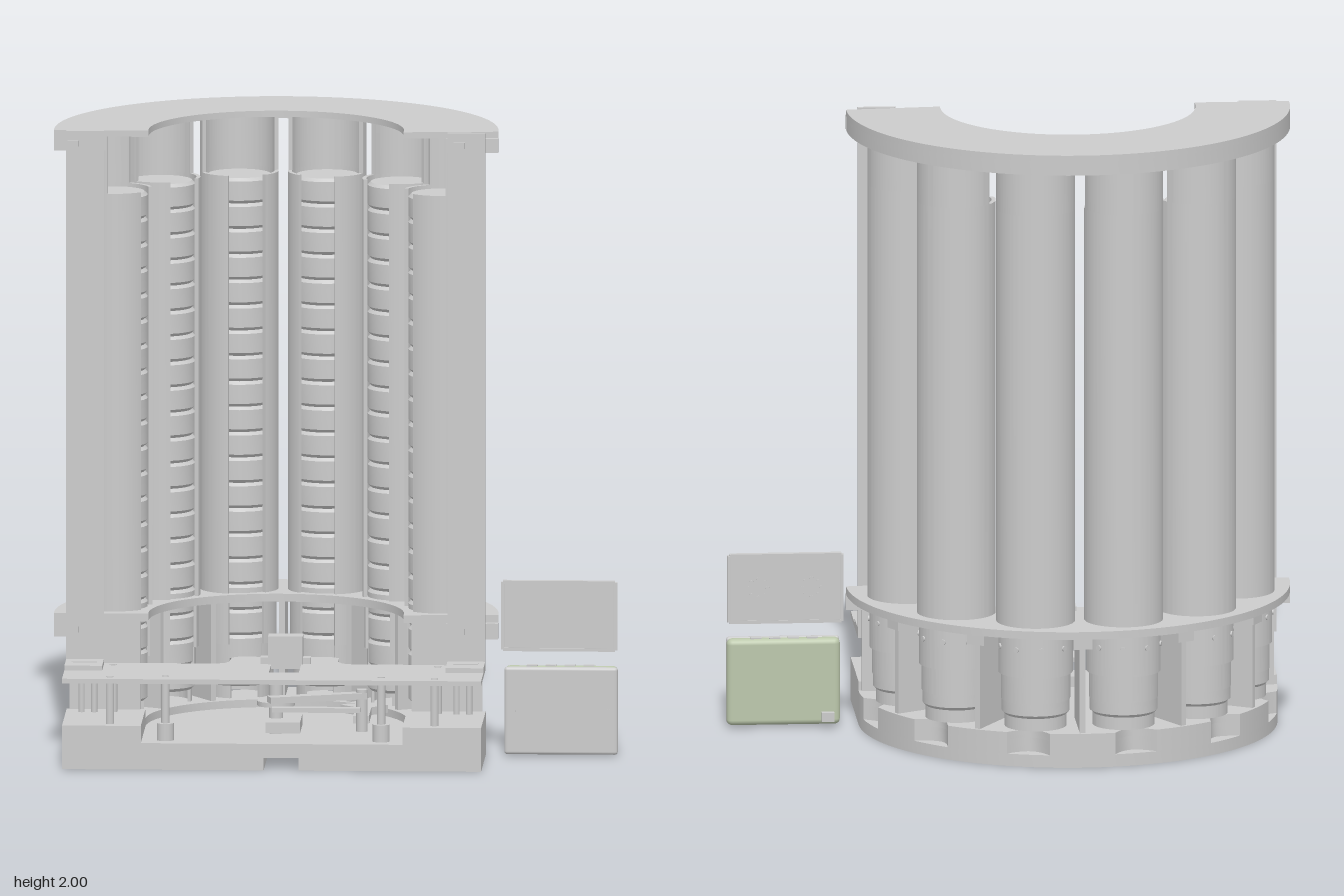
import * as THREE from 'three';
import { toCreasedNormals } from 'three/addons/utils/BufferGeometryUtils.js';
import { RoundedBoxGeometry } from 'three/addons/geometries/RoundedBoxGeometry.js';

const CX = -0.195, CZ = 0.175; // axis of the semicircle of tubes
const TUBE_ORBIT = 0.54, BASE_R = 0.665;
const rad = THREE.MathUtils.degToRad;
const grey = new THREE.MeshStandardMaterial({ color: 0xcccccc, side: THREE.DoubleSide });
const green = new THREE.MeshStandardMaterial({ color: 0xbcc8ac });

function add(parent, name, geo, x = 0, y = 0, z = 0, mat = grey) {
  const m = new THREE.Mesh(geo, mat);
  m.name = name;
  m.position.set(x, y, z);
  parent.add(m);
  return m;
}

// Box given by its limits
function block(parent, name, x0, x1, y0, y1, z0, z1, mat = grey) {
  return add(parent, name, new THREE.BoxGeometry(x1 - x0, y1 - y0, z1 - z0),
    (x0 + x1) / 2, (y0 + y1) / 2, (z0 + z1) / 2, mat);
}

function post(parent, name, r, x, y0, y1, z) {
  return add(parent, name, new THREE.CylinderGeometry(r, r, y1 - y0, 16), x, (y0 + y1) / 2, z);
}

// Upright extrusion; shape coordinates are (x, -z)
function slab(shape, y0, y1) {
  const g = new THREE.ExtrudeGeometry(shape, { depth: y1 - y0, bevelEnabled: false, curveSegments: 48 });
  g.rotateX(-Math.PI / 2).translate(0, y0, 0);
  return toCreasedNormals(g, 0.5);
}

const poly = pts => new THREE.Shape(pts.map(p => new THREE.Vector2(p[0], p[1])));

// Wall of a tube with an opening of the given half angle towards +z
function openRing(R, r, half) {
  const s = new THREE.Shape();
  const a = -Math.PI / 2 + half, b = 1.5 * Math.PI - half;
  s.absarc(0, 0, R, a, b, false);
  s.absarc(0, 0, r, b, a, true);
  s.closePath();
  return s;
}

// Half ring whose ends run straight forward a little
function halfRing(R, r, tail) {
  const s = new THREE.Shape();
  s.moveTo(R, -tail);
  s.absarc(0, 0, R, 0, Math.PI, false);
  s.lineTo(-R, -tail);
  s.lineTo(-r, -tail);
  s.absarc(0, 0, r, Math.PI, 0, true);
  s.lineTo(r, -tail);
  s.closePath();
  return s;
}

// Rear edge of the base, scooped out behind every tube
function scoopedArc() {
  const pts = [];
  for (let i = 0; i <= 180; i++) {
    const d = (i % 30 - 15) / 6;
    const r = BASE_R - 0.05 * Math.max(0, 1 - d * d);
    pts.push([r * Math.cos(rad(i)), r * Math.sin(rad(i))]);
  }
  return pts;
}

function buildBase(root) {
  const g = new THREE.Group();
  g.name = 'base';
  g.position.set(CX, 0, CZ);
  root.add(g);
  // bottom layer with the T-shaped channel
  const f = -0.35;
  const bottom = poly([[-BASE_R, f], [-0.025, f], [-0.025, -0.08], [-0.065, -0.08], [-0.065, -0.01],
    [0.125, -0.01], [0.125, -0.08], [0.085, -0.08], [0.085, f], [BASE_R, f]]);
  bottom.absarc(0, 0, BASE_R, 0, Math.PI, false);
  for (const [x, y] of [[-0.6, -0.3], [0.6, -0.3], [-0.6, 0.02], [0.6, 0.02], [0, 0.6]]) {
    const h = new THREE.Path();
    h.absarc(x, y, 0.022, 0, 2 * Math.PI, true);
    bottom.holes.push(h);
  }
  add(g, 'bottomLayer', slab(bottom, 0, 0.04));
  // floor and raised rear rim
  add(g, 'floorLayer', slab(poly([[-BASE_R, f], [BASE_R, f], ...scoopedArc()]), 0.04, 0.085));
  const rim = scoopedArc();
  for (let i = 180; i >= 0; i -= 5) rim.push([0.415 * Math.cos(rad(i)), 0.415 * Math.sin(rad(i))]);
  add(g, 'rearRim', slab(poly(rim), 0.085, 0.11));
  for (const s of [-1, 1]) {
    const [a, b] = [0.415 * s, BASE_R * s].sort((p, q) => p - q);
    block(g, 'sideBlock', a, b, 0.085, 0.14, 0, 0.35);
  }
}

function buildTubes(root) {
  const g = new THREE.Group();
  g.name = 'tubeBank';
  g.position.set(CX, 0, CZ);
  root.add(g);
  // one profile for a whole pile of rounded discs
  const n = 20, y0 = 0.15, pitch = (1.78 - y0) / n, R = 0.108, c = 0.01;
  const pts = [new THREE.Vector2(0, y0)];
  for (let i = 0; i < n; i++) {
    const y = y0 + i * pitch;
    for (const [r, h] of [[R - c, 0], [R, c], [R, pitch - c], [R - c, pitch]])
      pts.push(new THREE.Vector2(r, y + h));
  }
  pts.push(new THREE.Vector2(0, y0 + n * pitch));
  const pile = toCreasedNormals(new THREE.LatheGeometry(pts, 32), 0.5);
  const slot = rad(29);
  const parts = [
    ['tube', slab(openRing(0.125, 0.112, slot), 0.45, 1.79)],
    ['tubeLoadingEnd', slab(openRing(0.125, 0.112, rad(82)), 1.79, 1.98)],
    ['cup', slab(openRing(0.118, 0.108, slot), 0.285, 0.425)],
    ['cupNeck', slab(openRing(0.11, 0.1, slot), 0.2, 0.285)],
    ['cupFoot', slab(openRing(0.098, 0.088, slot), 0.11, 0.2)],
    ['discPile', pile],
  ];
  for (let a = -75; a <= 75; a += 30) {
    const t = new THREE.Group();
    t.name = 'tubeUnit';
    t.position.set(TUBE_ORBIT * Math.sin(rad(a)), 0, -TUBE_ORBIT * Math.cos(rad(a)));
    t.rotation.y = -rad(a);
    for (const [name, geo] of parts) add(t, name, geo);
    // screws round the cup
    for (let b = -60; b <= 60; b += 40) {
      const s = add(t, 'cupScrew', new THREE.CylinderGeometry(0.009, 0.009, 0.008, 10),
        0.119 * Math.sin(rad(b)), 0.375, -0.119 * Math.cos(rad(b)));
      s.rotation.set(Math.PI / 2, 0, -rad(b), 'YXZ');
      s.rotation.y = -rad(b); s.rotation.z = 0;
    }
    g.add(t);
  }
  // radial ribs between base and middle plate
  for (let a = -90; a <= 90; a += 30) {
    const rib = new THREE.Group();
    rib.name = 'rib';
    rib.rotation.y = -rad(a);
    block(rib, 'ribWeb', -0.009, 0.009, 0.11, 0.425, -0.655, -0.43);
    block(rib, 'ribHead', -0.03, 0.03, 0.385, 0.425, -0.67, -0.655);
    g.add(rib);
  }
  // middle plate and hollow top ring
  add(g, 'middlePlate', slab(halfRing(0.705, 0.405, 0.025), 0.425, 0.45));
  add(g, 'topPlate', slab(halfRing(0.705, 0.405, 0.025), 1.98, 2));
  add(g, 'topSkirt', slab(halfRing(0.705, 0.668, 0.025), 1.935, 1.98));
}

function buildFront(root) {
  // upright panels with feet, and the end blocks they are screwed to
  for (const s of [-1, 1]) {
    const span = (name, a, b, ...rest) =>
      block(root, name, CX + Math.min(a * s, b * s), CX + Math.max(a * s, b * s), ...rest);
    span('frontPanel', 0.545, 0.665, 0.29, 2, 0.2, 0.214);
    span('panelFoot', 0.545, 0.665, 0.29, 0.305, 0.2, 0.35);
    span('footSlot', 0.565, 0.645, 0.305, 0.308, 0.262, 0.28);
    for (const [y0, y1] of [[0.375, 0.425], [1.935, 1.98]]) {
      span('endBlock', 0.54, 0.705, y0, y1, 0.165, 0.2);
      for (const x of [0.565, 0.625])
        span('panelScrew', x, x + 0.035, y0 + 0.015, y0 + 0.035, 0.2, 0.218);
    }
  }
  // deck with a rear tongue, window and screw holes
  const deck = poly([[-0.86, -0.525], [0.47, -0.525], [0.47, -0.2], [0.2, -0.19], [0.05, -0.19],
    [0.015, -0.175], [0, -0.14], [0, -0.065], [-0.02, -0.045], [-0.32, -0.045], [-0.34, -0.065],
    [-0.345, -0.15], [-0.36, -0.18], [-0.39, -0.19], [-0.6, -0.19], [-0.86, -0.2]]);
  deck.holes.push(poly([[-0.21, -0.2], [-0.21, -0.365], [-0.115, -0.365], [-0.115, -0.2]]));
  const posts = [[-0.71, 0.23], [0.32, 0.23], [-0.71, 0.48], [0.32, 0.48], [-0.535, 0.455], [0.15, 0.455]];
  posts.forEach(([x, z], i) => {
    const h = new THREE.Path();
    h.absarc(x, -z, 0.012, 0, 2 * Math.PI, true);
    deck.holes.push(h);
    const foot = i < 4 ? 0.14 : 0.085;
    post(root, 'standoff', 0.013, x, foot, 0.275, z);
    if (i > 3) post(root, 'standoffNut', 0.027, x, foot, 0.14, z);
  });
  add(root, 'deck', slab(deck, 0.275, 0.29));
  for (const x of [-0.81, -0.77, 0.38, 0.42]) post(root, 'rearStandoff', 0.01, x, 0.14, 0.275, 0.24);

  // sensor tower and drive mechanism
  block(root, 'sensorTower', -0.22, -0.11, 0.29, 0.38, 0.14, 0.2);
  block(root, 'sensorEars', -0.245, -0.085, 0.29, 0.31, 0.15, 0.19);
  block(root, 'motor', -0.22, -0.11, 0.1, 0.135, 0.22, 0.4);
  post(root, 'driveShaft', 0.022, -0.19, 0.085, 0.25, 0.3);
  post(root, 'driveWheel', 0.06, -0.19, 0.175, 0.19, 0.3);
  const arm = block(root, 'driveArm', -0.22, 0.1, 0.19, 0.21, 0.28, 0.32);
  arm.rotation.y = 0.35;
  block(root, 'driveLink', -0.2, 0.08, 0.165, 0.18, 0.36, 0.39);
  post(root, 'armPivot', 0.018, 0.08, 0.085, 0.22, 0.25);
  add(root, 'pusher', slab(poly([[0.05, -0.19], [0.1, -0.19], [0.1, -0.01], [0.15, 0.04],
    [0.13, 0.06], [0.02, 0.06], [0, 0.04], [0.05, -0.01]]), 0.1, 0.125));
}

function buildDevices(root) {
  // control box with a green case and grey face
  const box = new THREE.Group();
  box.name = 'controlBox';
  add(box, 'controlCase', new RoundedBoxGeometry(0.36, 0.28, 0.045, 3, 0.018), 0.71, 0.147, 0.17, green);
  add(box, 'controlFace', new RoundedBoxGeometry(0.36, 0.28, 0.024, 3, 0.01), 0.71, 0.147, 0.197);
  for (const x of [0.56, 0.86]) {
    const s = add(box, 'faceScrew', new THREE.CylinderGeometry(0.007, 0.007, 0.006, 10), x, 0.147, 0.208);
    s.rotation.x = Math.PI / 2;
  }
  block(box, 'connector', 0.55, 0.59, 0.02, 0.05, 0.128, 0.15);
  for (let i = 0; i < 4; i++) block(box, 'port', 0.6 + i * 0.06, 0.635 + i * 0.06, 0.284, 0.29, 0.16, 0.18);
  // display with a raised rim and two sound grilles behind
  const display = new THREE.Group();
  display.name = 'display';
  add(display, 'displayPanel', new RoundedBoxGeometry(0.355, 0.215, 0.012, 2, 0.005), 0.703, 0.448, 0.173);
  for (const y of [0.34, 0.556]) block(display, 'displayRim', 0.525, 0.88, y - 0.005, y + 0.005, 0.165, 0.185);
  for (const x of [0.523, 0.883]) block(display, 'displayRim', x - 0.005, x + 0.005, 0.34, 0.556, 0.165, 0.185);
  for (const x of [0.62, 0.79]) for (let i = 0; i < 8; i++) {
    const a = i * Math.PI / 4;
    const d = add(display, 'grilleDot', new THREE.CylinderGeometry(0.006, 0.006, 0.004, 8),
      x + 0.03 * Math.cos(a), 0.45 + 0.03 * Math.sin(a), 0.166);
    d.rotation.x = Math.PI / 2;
  }
  root.add(box, display);
}

export function createModel() {
  const root = new THREE.Group();
  root.name = 'discDispenser';
  buildBase(root);
  buildTubes(root);
  buildFront(root);
  buildDevices(root);
  return root;
}
